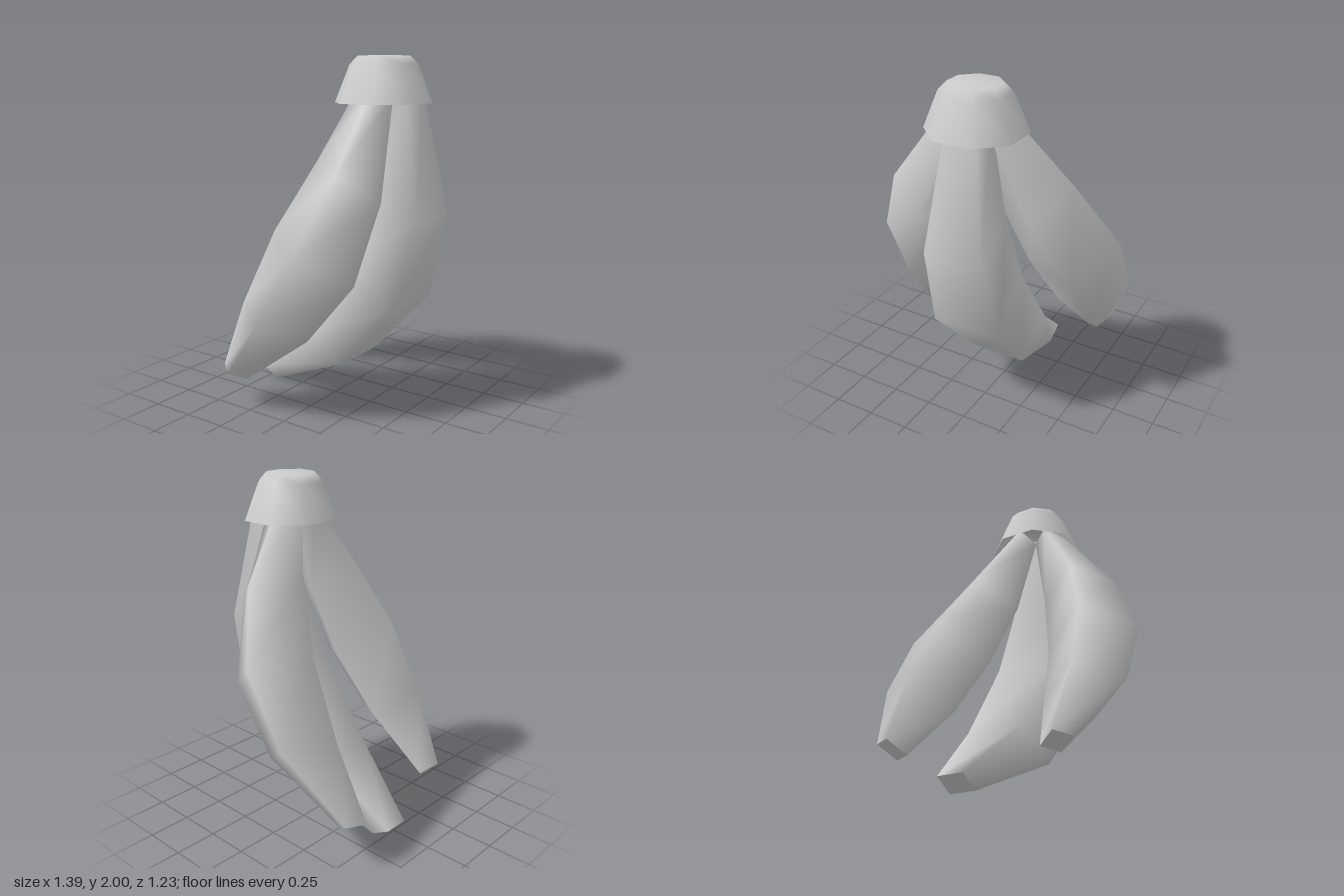
import * as THREE from 'three';

const material = new THREE.MeshStandardMaterial({ color: 0xcccccc, side: THREE.DoubleSide });

// A four-sided fruit lofted through rings, stalk to tip.
// Each ring is [corner, first edge vector, second edge vector].
function createFruit(name, rings) {
  const positions = [];
  const index = [];
  const corners = rings.map(([corner, edgeA, edgeB]) =>
    [[0, 0], [1, 0], [1, 1], [0, 1]].map(([a, b]) =>
      corner.map((v, k) => v + a * edgeA[k] + b * edgeB[k])));
  corners.forEach(ring => ring.forEach(p => positions.push(...p)));

  for (let i = 0; i < rings.length - 1; i++) {
    for (let j = 0; j < 4; j++) {
      const a = i * 4 + j;
      const b = i * 4 + (j + 1) % 4;
      index.push(a, b, b + 4, a, b + 4, a + 4);
    }
  }

  // Ends have their own corners so their rims stay sharp
  const addEnd = (ring, order) => {
    const start = positions.length / 3;
    ring.forEach(p => positions.push(...p));
    index.push(...order.map(k => start + k));
  };
  addEnd(corners[0], [0, 2, 1, 0, 3, 2]);
  addEnd(corners[corners.length - 1], [0, 1, 2, 0, 2, 3]);

  const geometry = new THREE.BufferGeometry();
  geometry.setAttribute('position', new THREE.Float32BufferAttribute(positions, 3));
  geometry.setIndex(index);
  geometry.computeVertexNormals();
  const mesh = new THREE.Mesh(geometry, material);
  mesh.name = name;
  return mesh;
}

// Octagonal stem cap, open underneath
function createCap() {
  const profile = [[0.28, 1.75], [0.195, 1.955], [0.15, 2], [0, 2]]
    .map(([r, y]) => new THREE.Vector2(r, y));
  const cap = new THREE.Mesh(new THREE.LatheGeometry(profile, 8, Math.PI / 8), material);
  cap.name = 'stemCap';
  cap.position.set(0.01, 0, 0.31);
  cap.scale.z = 0.95;
  return cap;
}

export function createModel() {
  const group = new THREE.Group();
  group.name = 'fruitBunch';

  group.add(createCap());

  group.add(createFruit('middleFruit', [
    [[0.12, 1.83, 0.495], [-0.175, 0, 0], [0, 0.03, -0.14]],
    [[0.21, 1.14, 0.615], [-0.35, 0, 0], [0, 0.18, -0.255]],
    [[0.24, 0.64, 0.495], [-0.415, 0, 0], [0, 0.28, -0.26]],
    [[0.205, 0.26, 0.155], [-0.345, 0, 0], [0, 0.15, -0.295]],
    [[0.11, 0, -0.43], [-0.15, 0, 0], [0, 0.065, -0.115]],
  ]));

  group.add(createFruit('leftFruit', [
    [[0.12, 1.8, 0.38], [-0.12, 0, -0.08], [0.05, 0.05, -0.13]],
    [[0.35, 1.3, 0.355], [-0.26, 0, -0.15], [0.14, 0.18, -0.21]],
    [[0.53, 0.9, 0.23], [-0.33, 0.015, -0.16], [0.165, 0.2, -0.28]],
    [[0.54, 0.53, -0.04], [-0.27, 0, -0.15], [0.145, 0.17, -0.24]],
    [[0.43, 0.21, -0.46], [-0.105, 0, -0.055], [0.06, 0.07, -0.1]],
  ]));

  group.add(createFruit('rightFruit', [
    [[-0.07, 1.78, 0.42], [-0.1, 0.05, -0.06], [0.07, 0.02, -0.13]],
    [[-0.265, 1.25, 0.475], [-0.245, 0.15, -0.125], [0.18, 0.06, -0.23]],
    [[-0.4, 0.82, 0.4], [-0.295, 0.18, -0.18], [0.228, 0.08, -0.29]],
    [[-0.45, 0.48, 0.13], [-0.25, 0.12, -0.15], [0.19, 0.05, -0.25]],
    [[-0.45, 0.16, -0.31], [-0.1, 0.05, -0.06], [0.07, 0.02, -0.09]],
  ]));

  return group;
}
